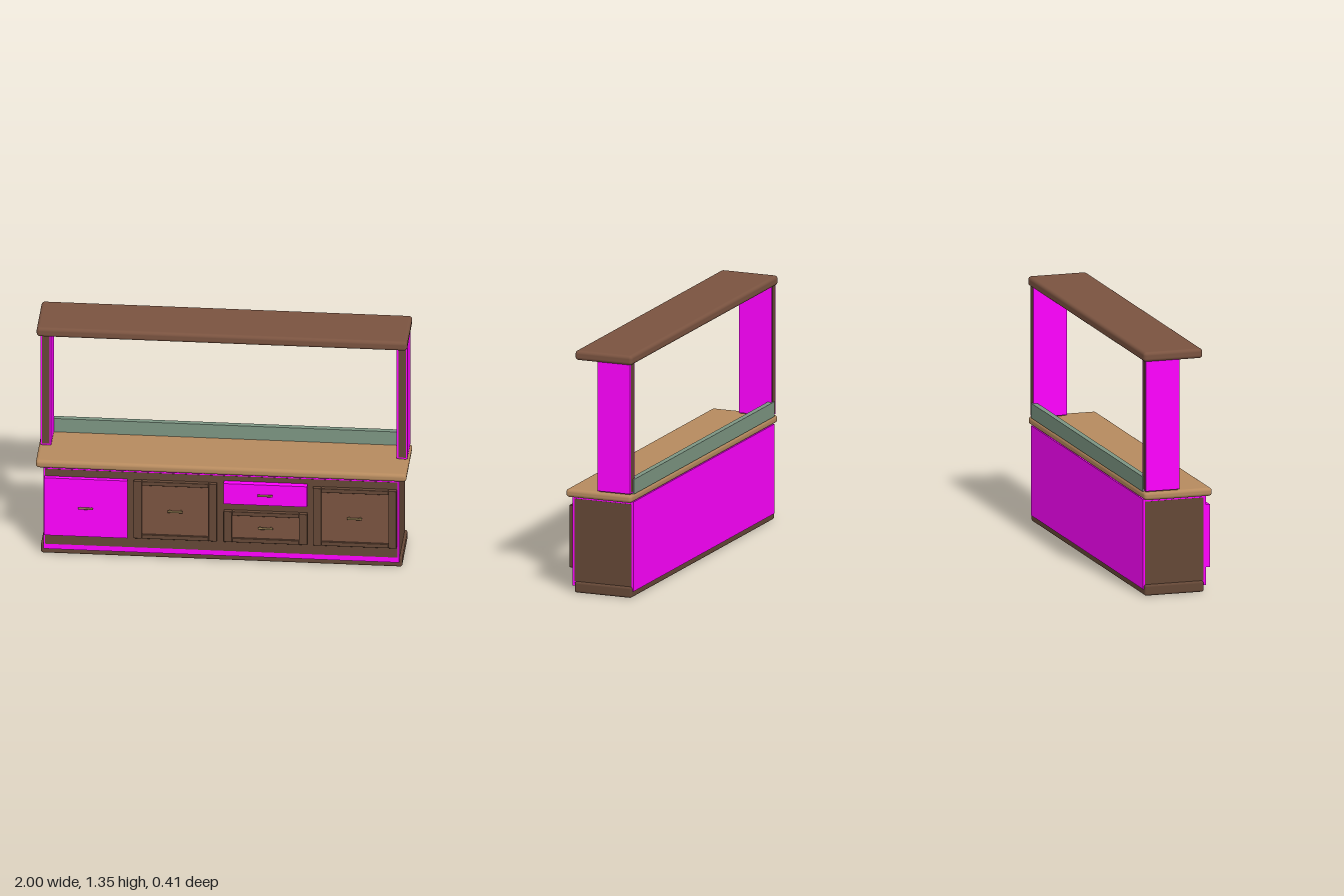
import * as THREE from 'three';
import { RoundedBoxGeometry } from 'three/addons/geometries/RoundedBoxGeometry.js';

const mat = (color) => new THREE.MeshStandardMaterial({ color });

export function createModel() {
  const model = new THREE.Group();
  model.name = 'sideboard';
  const wood = mat(0x7a5340), darkWood = mat(0x644736), top = mat(0xb68a5e);
  const green = mat(0x7c9582), magenta = mat(0xff00ff), brass = mat(0x86704a);

  // Box given by its [min, max] extents; radius > 0 rounds the edges
  function box(parent, name, material, [x0, x1], [y0, y1], [z0, z1], radius = 0) {
    const w = x1 - x0, h = y1 - y0, d = z1 - z0;
    const geo = radius ? new RoundedBoxGeometry(w, h, d, 4, radius) : new THREE.BoxGeometry(w, h, d);
    const mesh = new THREE.Mesh(geo, material);
    mesh.position.set((x0 + x1) / 2, (y0 + y1) / 2, (z0 + z1) / 2);
    mesh.name = name;
    parent.add(mesh);
    return mesh;
  }

  // Cabinet carcass on a plinth, with veneered front and ends
  box(model, 'plinth', darkWood, [-0.975, 0.975], [0, 0.06], [-0.19, 0.145], 0.012);
  box(model, 'carcass', magenta, [-0.96, 0.96], [0.035, 0.53], [-0.196, 0.16]);
  box(model, 'frontVeneer', darkWood, [-0.95, 0.95], [0.065, 0.517], [0.155, 0.161]);
  for (const s of [-1, 1]) {
    const xs = [s * 0.955, s * 0.961].sort((a, b) => a - b);
    box(model, 'endVeneer', darkWood, xs, [0.06, 0.517], [-0.185, 0.147]);
  }

  // Worktop, splashback and upper shelf
  box(model, 'worktop', top, [-1, 1], [0.53, 0.575], [-0.2, 0.185], 0.018);
  box(model, 'splashback', green, [-0.955, 0.955], [0.573, 0.655], [-0.198, -0.167]);
  box(model, 'shelf', wood, [-1, 1], [1.293, 1.346], [-0.203, 0.131], 0.018);

  // Uprights with a wooden strip on the front and back edges
  for (const s of [-1, 1]) {
    const span = (a, b) => [s * a, s * b].sort((p, q) => p - q);
    box(model, 'upright', magenta, span(0.932, 0.99), [0.58, 1.295], [-0.19, 0]);
    box(model, 'uprightStrip', darkWood, span(0.942, 0.982), [0.587, 1.295], [-0.191, 0.001]);
    box(model, 'uprightFoot', darkWood, span(0.942, 0.982), [0.57, 0.59], [-0.185, -0.005]);
  }

  // Bar handle on two short stems
  function handle(parent, x, y, z) {
    const g = new THREE.Group();
    g.name = 'handle';
    const bar = new THREE.Mesh(new THREE.CylinderGeometry(0.006, 0.006, 0.08, 12), brass);
    bar.rotation.z = Math.PI / 2;
    bar.position.z = 0.008;
    bar.name = 'handleBar';
    g.add(bar);
    for (const s of [-1, 1]) {
      const stem = new THREE.Mesh(new THREE.CylinderGeometry(0.004, 0.004, 0.022, 10), brass);
      stem.rotation.x = Math.PI / 2;
      stem.position.set(s * 0.03, 0, -0.002);
      stem.name = 'handleStem';
      g.add(stem);
    }
    g.position.set(x, y, z);
    parent.add(g);
  }

  // Framed front: two stiles, two rails and a recessed panel
  function framedFront(name, x0, x1, y0, y1) {
    const g = new THREE.Group();
    g.name = name;
    const zs = [0.158, 0.185], stile = 0.045, rail = 0.025;
    for (const xs of [[x0, x0 + stile], [x1 - stile, x1]]) {
      box(g, 'stile', darkWood, xs, [y0, y1], zs, 0.004);
    }
    for (const ys of [[y0, y0 + rail], [y1 - rail, y1]]) {
      box(g, 'rail', darkWood, [x0 + stile, x1 - stile], ys, zs, 0.004);
    }
    box(g, 'panel', wood, [x0 + stile, x1 - stile], [y0 + rail, y1 - rail], [0.158, 0.174]);
    handle(g, (x0 + x1) / 2, (y0 + y1) / 2, 0.183);
    model.add(g);
  }

  // Plain slab front
  function slabFront(name, x0, x1, y0, y1, z) {
    const g = new THREE.Group();
    g.name = name;
    box(g, 'slab', magenta, [x0, x1], [y0, y1], [0.158, z]);
    handle(g, (x0 + x1) / 2, (y0 + y1) / 2, z);
    model.add(g);
  }

  slabFront('plainDoor', -0.953, -0.505, 0.13, 0.475, 0.186);
  framedFront('middleDoor', -0.472, -0.022, 0.13, 0.475);
  slabFront('upperDrawer', 0.015, 0.466, 0.365, 0.488, 0.196);
  framedFront('lowerDrawer', 0.015, 0.466, 0.13, 0.315);
  framedFront('endDoor', 0.496, 0.948, 0.13, 0.475);

  return model;
}
